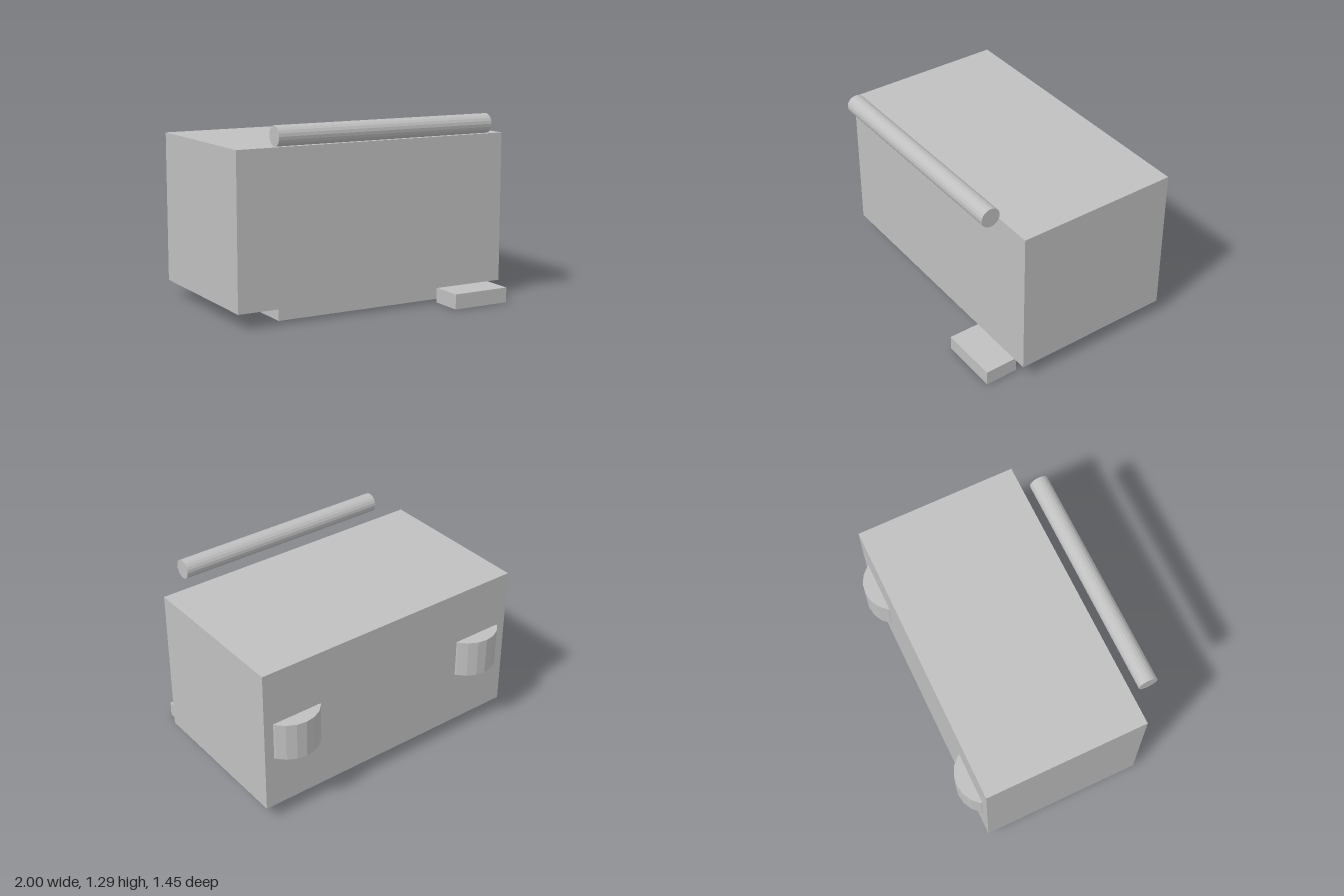
import * as THREE from 'three';

export function createModel() {
  const model = new THREE.Group();
  model.name = 'cabinet';
  const grey = new THREE.MeshStandardMaterial({ color: 0xc0c0c0 });
  grey.name = 'light grey';
  grey.flatShading = true;

  const add = (name, geometry, x, y, z) => {
    const mesh = new THREE.Mesh(geometry, grey);
    mesh.name = name;
    mesh.position.set(x, y, z);
    model.add(mesh);
    return mesh;
  };
  // Box given by its extents on each axis
  const box = (name, [x0, x1], [y0, y1], [z0, z1]) =>
    add(name, new THREE.BoxGeometry(x1 - x0, y1 - y0, z1 - z0),
      (x0 + x1) / 2, (y0 + y1) / 2, (z0 + z1) / 2);

  // Main body, with the base and the pedal below it
  box('body', [-1, 1], [0.103, 1.135], [-0.623, 0.507]);
  box('base', [-0.67, 0.67], [0, 0.103], [0.042, 0.411]);
  box('pedal', [0.49, 0.905], [0, 0.103], [0.495, 0.725]);

  // Horizontal rail floating above the front edge
  const rail = add('rail', new THREE.CylinderGeometry(0.066, 0.066, 1.58, 20), 0, 1.22, 0.61);
  rail.rotation.z = Math.PI / 2;

  // Upright drums partly sunk into the back
  for (const side of [-1, 1]) {
    add(side > 0 ? 'leftBackDrum' : 'rightBackDrum',
      new THREE.CylinderGeometry(0.217, 0.217, 0.266, 20), side * 0.75, 0.618, -0.508);
  }
  return model;
}
